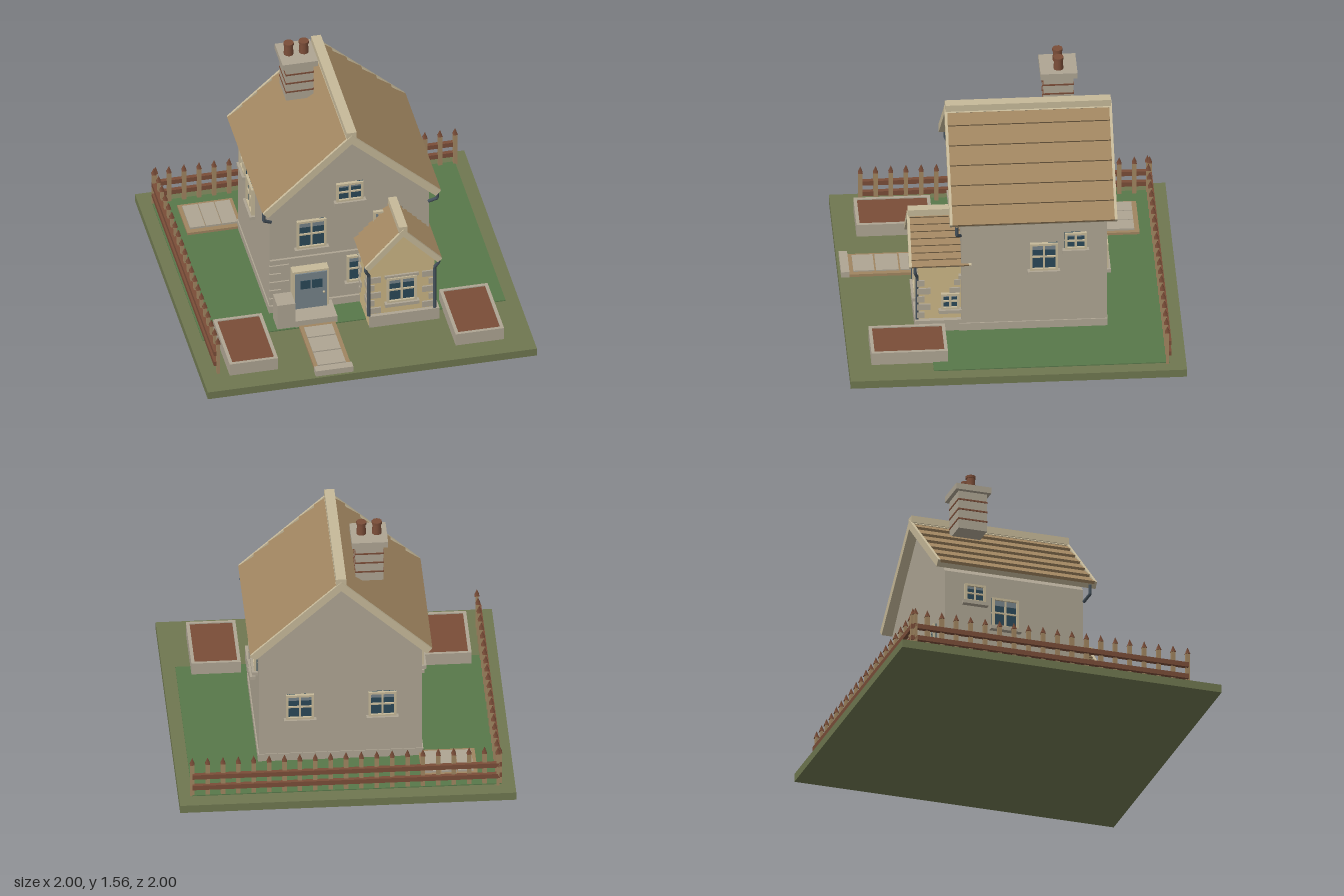
import * as THREE from 'three';

const mat = (name, color) => {
  const m = new THREE.MeshStandardMaterial({ color });
  m.name = name;
  return m;
};
const M = {
  stone: mat('stone', 0xaea593),
  trim: mat('cream trim', 0xc6b999),
  plaster: mat('yellow plaster', 0xcbb685),
  roof: mat('roof tile', 0xa08560),
  brown: mat('red brown', 0x7a4d38),
  grass: mat('grass', 0x58784a),
  earth: mat('olive ground', 0x6f7750),
  glass: mat('window glass', 0x2a4858),
  door: mat('blue grey', 0x76838a),
  pipe: mat('gutter pipe', 0x46525c),
};

function add(parent, name, geo, material, x = 0, y = 0, z = 0) {
  const m = new THREE.Mesh(geo, material);
  m.name = name;
  m.position.set(x, y, z);
  parent.add(m);
  return m;
}

// Box given by its min and max on each axis
function box(parent, name, material, x0, x1, y0, y1, z0, z1) {
  return add(parent, name, new THREE.BoxGeometry(x1 - x0, y1 - y0, z1 - z0), material,
    (x0 + x1) / 2, (y0 + y1) / 2, (z0 + z1) / 2);
}

function group(parent, name, x = 0, y = 0, z = 0) {
  const g = new THREE.Group();
  g.name = name;
  g.position.set(x, y, z);
  parent.add(g);
  return g;
}

// Five-sided wall block with a gable at both ends
function gableBlock(parent, name, material, cx, hw, y0, eave, peak, z0, z1) {
  const s = new THREE.Shape([[-hw, y0], [hw, y0], [hw, eave], [0, peak], [-hw, eave]]
    .map(p => new THREE.Vector2(...p)));
  add(parent, name, new THREE.ExtrudeGeometry(s, { depth: z1 - z0, bevelEnabled: false }), material, cx, 0, z0);
}

// Pitched roof: boards, overlapping tile rows, bargeboards and ridge cap
function pitchedRoof(parent, name, cx, ridgeY, hw, drop, z0, z1, rows, t, capW) {
  const roof = group(parent, name, cx, ridgeY, (z0 + z1) / 2);
  const len = Math.hypot(hw, drop), d = (z1 - z0) / 2, step = len / rows;
  for (const s of [1, -1]) {
    const side = group(roof, 'roofSide');
    side.rotation.y = s > 0 ? 0 : Math.PI;
    const slope = group(side, 'slope');
    slope.rotation.z = -Math.atan2(drop, hw);
    box(slope, 'roofBoards', M.trim, 0, len - 0.005, -t, -t * 0.5, -d, d);
    for (let i = 0; i < rows; i++) {
      const row = add(slope, 'tileRow', new THREE.BoxGeometry(step * 1.04, t * 0.4, 2 * d - 0.03), M.roof,
        (i + 0.5) * step, -t * 0.32, 0);
      row.rotation.z = t * 0.35 / step;
    }
    for (const e of [1, -1]) add(slope, 'bargeboard', new THREE.BoxGeometry(len, t, 0.016), M.trim, len / 2, -t / 2, e * (d - 0.008));
    box(slope, 'fascia', M.trim, len - 0.014, len, -t, -t * 0.2, -d, d);
  }
  box(roof, 'ridgeCap', M.trim, -capW, capW, -0.025, 0.018, -d + 0.005, d - 0.005);
}

// Window facing +z: frame, glass, blind, glazing bars, sill
function windowUnit(parent, x, y, z, w, h, turn = 0) {
  const g = group(parent, 'window', x, y, z);
  g.rotation.y = turn;
  const f = 0.014, a = w / 2, b = h / 2;
  box(g, 'glass', M.glass, -a, a, -b, b, -0.01, 0.006);
  box(g, 'blind', M.door, -a + f, a - f, b * 0.5, b - f, 0.005, 0.009);
  for (const s of [1, -1]) {
    add(g, 'frameSide', new THREE.BoxGeometry(f, h, 0.03), M.trim, s * (a - f / 2), 0, 0.005);
    add(g, 'frameRail', new THREE.BoxGeometry(w, f, 0.03), M.trim, 0, s * (b - f / 2), 0.005);
  }
  add(g, 'mullion', new THREE.BoxGeometry(0.012, h, 0.02), M.trim, 0, 0, 0.005);
  add(g, 'glazingBar', new THREE.BoxGeometry(w, 0.01, 0.02), M.trim, 0, 0, 0.005);
  box(g, 'sill', M.stone, -a - 0.014, a + 0.014, -b - 0.02, -b + 0.002, -0.01, 0.034);
}

function pipe(parent, name, pts) {
  const path = new THREE.CurvePath();
  const v = pts.map(p => new THREE.Vector3(...p));
  for (let i = 1; i < v.length; i++) path.add(new THREE.LineCurve3(v[i - 1], v[i]));
  add(parent, name, new THREE.TubeGeometry(path, 24, 0.01, 8), M.pipe);
}

function fence(parent, name, x, z, length, count, turn) {
  const g = group(parent, name, x, 0.05, z);
  g.rotation.y = turn;
  const post = new THREE.BoxGeometry(0.026, 0.22, 0.018);
  const tip = new THREE.ConeGeometry(0.02, 0.045, 4).rotateY(Math.PI / 4);
  for (const y of [0.065, 0.14]) box(g, 'rail', M.brown, 0, length, y - 0.015, y + 0.015, -0.013, 0.013);
  for (let i = 0; i < count; i++) {
    const px = i * length / (count - 1);
    add(g, 'picket', post, M.roof, px, 0.11, 0.012);
    add(g, 'picketTip', tip, M.brown, px, 0.24, 0.012);
  }
}

export function createModel() {
  const model = new THREE.Group();
  model.name = 'cottage';

  // Ground
  box(model, 'ground', M.earth, -1, 1, 0, 0.05, -1, 1);
  box(model, 'lawn', M.grass, -0.92, 0.92, 0.048, 0.056, -0.9, 0.5);

  // Main house
  const house = group(model, 'house'), cx = 0.013;
  gableBlock(house, 'walls', M.stone, cx, 0.485, 0.05, 0.8, 1.31, -0.555, 0.31);
  box(house, 'plinth', M.stone, cx - 0.492, cx + 0.492, 0.05, 0.105, -0.56, 0.325);
  box(house, 'stringCourse', M.stone, cx - 0.485, cx + 0.485, 0.415, 0.44, 0.3, 0.325);
  pitchedRoof(house, 'mainRoof', cx, 1.335, 0.54, 0.495, -0.615, 0.38, 6, 0.045, 0.03);
  for (let i = 0; i < 5; i++) {
    const w = i % 2 ? 0.07 : 0.12, y = 0.11 + i * 0.06;
    box(house, 'cornerStone', M.stone, -0.475, -0.475 + w, y, y + 0.045, 0.3, 0.32);
  }

  // Windows of the house
  windowUnit(house, -0.22, 0.605, 0.31, 0.18, 0.2);
  windowUnit(house, 0.246, 0.605, 0.31, 0.18, 0.2);
  windowUnit(house, 0.013, 0.88, 0.31, 0.165, 0.13);
  windowUnit(house, 0.08, 0.305, 0.31, 0.17, 0.19);
  for (const x of [-0.235, 0.255]) windowUnit(house, x, 0.435, -0.555, 0.165, 0.17, Math.PI);
  for (const s of [1, -1]) {
    windowUnit(house, cx + s * 0.485, 0.565, -0.18, 0.165, 0.19, s * Math.PI / 2);
    windowUnit(house, cx + s * 0.485, 0.67, -0.37, 0.13, 0.115, s * Math.PI / 2);
    pipe(house, 'gutterElbow', [[cx + s * 0.527, 0.82, 0.34], [cx + s * 0.527, 0.76, 0.34], [cx + s * 0.48, 0.725, 0.315]]);
  }

  // Door, step and stone trough
  const door = group(model, 'frontDoor');
  box(door, 'doorFrame', M.trim, -0.345, -0.125, 0.1, 0.368, 0.3, 0.37);
  box(door, 'doorLeaf', M.door, -0.332, -0.138, 0.1, 0.355, 0.3, 0.378);
  for (const x of [-0.3, -0.228]) box(door, 'doorPane', M.glass, x, x + 0.062, 0.245, 0.305, 0.375, 0.382);
  add(door, 'doorKnob', new THREE.SphereGeometry(0.008, 8, 6), M.trim, -0.158, 0.21, 0.385);
  box(door, 'doorStep', M.stone, -0.355, -0.1, 0.05, 0.1, 0.3, 0.495);
  box(model, 'trough', M.stone, -0.465, -0.355, 0.05, 0.23, 0.37, 0.49);

  // Chimney
  const chimney = group(model, 'chimney');
  box(chimney, 'stack', M.stone, -0.255, -0.088, 1.2, 1.45, -0.395, -0.218);
  for (const y of [1.262, 1.325, 1.388]) box(chimney, 'brickBand', M.brown, -0.258, -0.085, y - 0.005, y + 0.005, -0.398, -0.215);
  box(chimney, 'chimneyCap', M.stone, -0.28, -0.065, 1.442, 1.48, -0.418, -0.198);
  for (const x of [-0.22, -0.128]) {
    add(chimney, 'chimneyPot', new THREE.CylinderGeometry(0.025, 0.03, 0.07, 10), M.brown, x, 1.515, -0.308);
    add(chimney, 'potRim', new THREE.CylinderGeometry(0.031, 0.031, 0.016, 10), M.brown, x, 1.553, -0.308);
  }

  // Front bay
  const bay = group(model, 'frontBay'), bx = 0.273;
  gableBlock(bay, 'bayWalls', M.plaster, bx, 0.2, 0.05, 0.515, 0.745, 0.3, 0.562);
  box(bay, 'bayPlinth', M.stone, 0.075, 0.5, 0.05, 0.13, 0.3, 0.585);
  pitchedRoof(bay, 'bayRoof', bx, 0.77, 0.235, 0.25, 0.25, 0.62, 8, 0.035, 0.026);
  windowUnit(bay, bx, 0.3, 0.562, 0.18, 0.18);
  box(bay, 'lintel', M.stone, 0.17, 0.376, 0.385, 0.405, 0.55, 0.575);
  windowUnit(bay, 0.473, 0.255, 0.375, 0.11, 0.11, Math.PI / 2);
  for (const s of [1, -1]) {
    for (let i = 0; i < 5; i++) {
      const w = i % 2 ? 0.045 : 0.085, y = 0.14 + i * 0.056, dz = i % 2 ? 0.08 : 0.045;
      add(bay, 'quoin', new THREE.BoxGeometry(w, 0.04, dz), M.stone, bx + s * (0.21 - w / 2), y + 0.02, 0.572 - dz / 2);
      if (i > 2 || s < 0) add(bay, 'innerQuoin', new THREE.BoxGeometry(0.04, 0.035, dz * 0.8), M.stone, bx + s * 0.188, y + 0.02, 0.315 + dz * 0.4);
    }
    const px = bx + s * 0.222;
    pipe(bay, 'bayDownpipe', [[px, 0.525, 0.585], [px, 0.47, 0.585], [bx + s * 0.2, 0.43, 0.572], [bx + s * 0.2, 0.13, 0.572]]);
  }

  // Garden path
  const path = group(model, 'gardenPath');
  box(path, 'pathBorder', M.roof, -0.335, -0.115, 0.05, 0.068, 0.5, 0.935);
  for (const [a, b] of [[0.53, 0.63], [0.64, 0.775], [0.785, 0.91]]) box(path, 'pathSlab', M.stone, -0.312, -0.142, 0.05, 0.076, a, b);
  box(path, 'endStone', M.stone, -0.34, -0.112, 0.05, 0.088, 0.935, 0.985);

  // Back patio
  const patio = group(model, 'patio');
  box(patio, 'patioBorder', M.roof, -0.785, -0.452, 0.05, 0.072, -0.812, -0.53);
  for (let i = 0; i < 3; i++) box(patio, 'patioSlab', M.stone, -0.762 + i * 0.098, -0.67 + i * 0.098, 0.05, 0.085, -0.782, -0.562);

  // Raised flower beds
  for (const x of [-0.69, 0.683]) {
    const bed = group(model, 'flowerBed', x, 0, 0.638);
    for (const s of [1, -1]) {
      add(bed, 'bedSide', new THREE.BoxGeometry(0.02, 0.082, 0.455), M.stone, s * 0.137, 0.091, 0);
      add(bed, 'bedEnd', new THREE.BoxGeometry(0.294, 0.082, 0.02), M.stone, 0, 0.091, s * 0.2175);
    }
    box(bed, 'soil', M.brown, -0.13, 0.13, 0.05, 0.126, -0.21, 0.21);
  }

  // Picket fences
  fence(model, 'backFence', -0.91, -0.9, 1.83, 21, 0);
  fence(model, 'sideFence', -0.91, 0.82, 1.72, 20, Math.PI / 2);

  return model;
}
